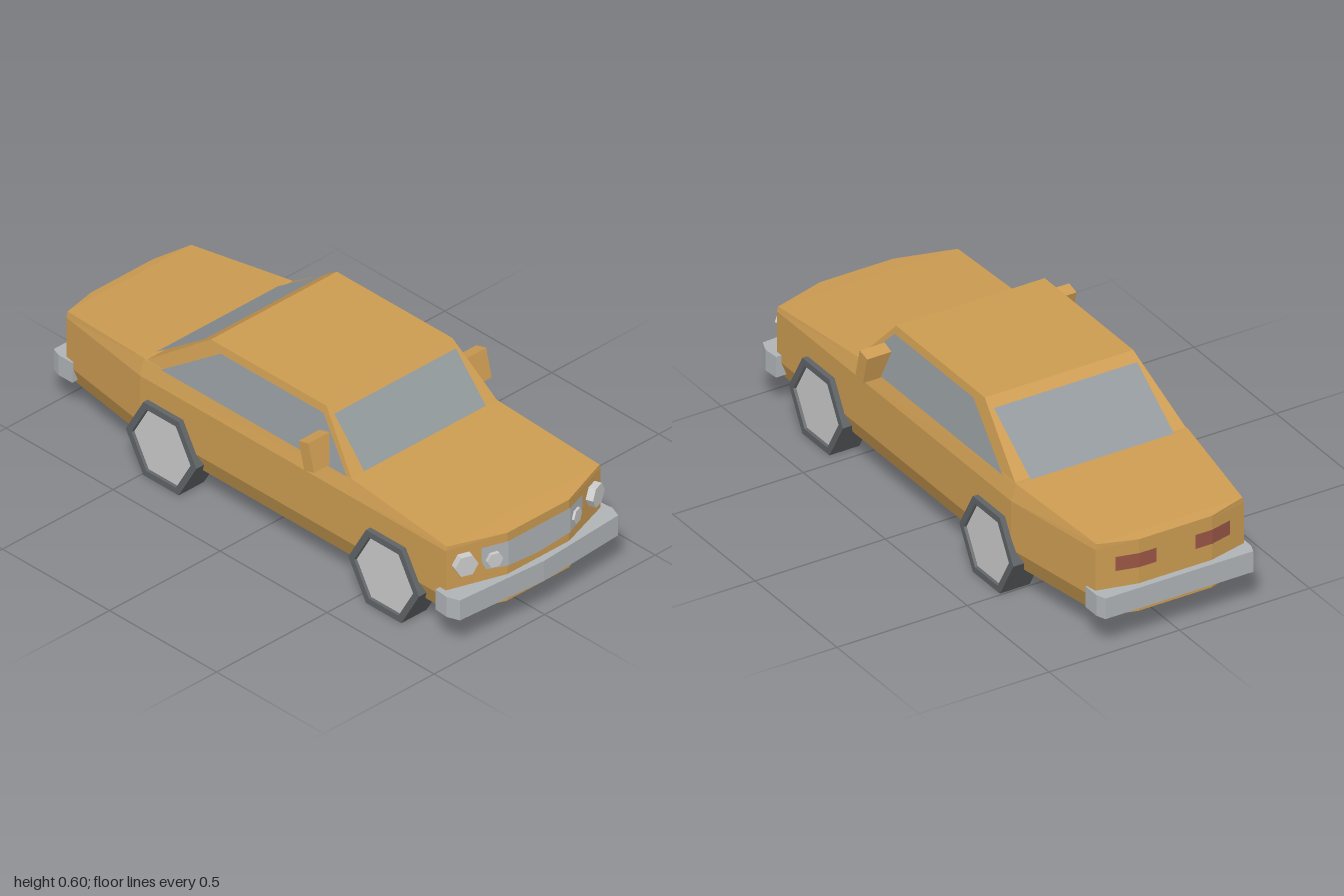
import * as THREE from 'three';

const mat = (color) => new THREE.MeshStandardMaterial({ color, flatShading: true, side: THREE.DoubleSide });

// Flat-shaded mesh from a list of four-cornered faces
function quadMesh(name, quads, material) {
  const pos = [];
  for (const [a, b, c, d] of quads) pos.push(...a, ...b, ...c, ...a, ...c, ...d);
  const g = new THREE.BufferGeometry();
  g.setAttribute('position', new THREE.Float32BufferAttribute(pos, 3));
  g.computeVertexNormals();
  const m = new THREE.Mesh(g, material);
  m.name = name;
  return m;
}

// Closed ring from its left half (front to back)
const ring = (half) => [...half, ...half.slice().reverse().map(([x, y, z]) => [-x, y, z])];

// Skin stacked rings, bottom to top, and close both ends with cross strips
function loft(name, rings, material) {
  const n = rings[0].length, quads = [];
  for (let k = 0; k + 1 < rings.length; k++)
    for (let i = 0; i < n; i++) {
      const j = (i + 1) % n;
      quads.push([rings[k][i], rings[k][j], rings[k + 1][j], rings[k + 1][i]]);
    }
  const lo = rings[0], hi = rings[rings.length - 1];
  for (let i = 0; i < n / 2 - 1; i++) {
    quads.push([hi[i], hi[i + 1], hi[n - 2 - i], hi[n - 1 - i]]);
    quads.push([lo[n - 1 - i], lo[n - 2 - i], lo[i + 1], lo[i]]);
  }
  return quadMesh(name, quads, material);
}

// Depth of the bent nose and tail faces at a given x
const noseZ = (x) => 0.97 - Math.max(0, Math.abs(x) - 0.14) * 0.34;
const tailZ = (x) => -0.975 + Math.max(0, Math.abs(x) - 0.14) * 0.25;

// Panel following a bent face; columns are [x, bottom, top]
function panel(name, cols, zAt, material) {
  const quads = [];
  for (let i = 0; i + 1 < cols.length; i++) {
    const [x0, b0, t0] = cols[i], [x1, b1, t1] = cols[i + 1];
    const z0 = zAt(x0), z1 = zAt(x1);
    quads.push([[x0, b0, z0], [x1, b1, z1], [x1, t1, z1], [x0, t0, z0]]);
  }
  return quadMesh(name, quads, material);
}

export function createModel() {
  const car = new THREE.Group();
  const paint = mat(0xcc9c52), glass = mat(0x92999c), chrome = mat(0xb0b4b7);
  const rubber = mat(0x606466), grey = mat(0xcccccc), red = mat(0x9a5646);

  // Lower body: sill, crease, shoulder and top edge
  const zs = [0.97, 0.9, 0.44, -0.53, -0.94, -0.975];
  const wide = [0.14, 0.35, 0.35, 0.35, 0.285, 0.14];
  const topX = [0.14, 0.345, 0.33, 0.33, 0.28, 0.14];
  const topY = [0.37, 0.378, 0.415, 0.42, 0.383, 0.375];
  const level = (xs, y) => ring(zs.map((z, i) => [xs[i], y(i), z]));
  car.add(loft('body', [
    level(wide.map((x) => (x > 0.2 ? x - 0.03 : x)), () => 0.105),
    level(wide, () => 0.18),
    level(wide, () => 0.362),
    level(topX, (i) => topY[i]),
  ], paint));

  // Cabin
  car.add(loft('cabin', [
    ring([[0.33, 0.412, 0.44], [0.33, 0.412, -0.53]]),
    ring([[0.285, 0.6, 0.275], [0.285, 0.6, -0.265]]),
  ], paint));

  // Windscreen and rear window, lying just above the cabin slopes
  const slope = (name, z0, z1) => {
    const at = (x, t) => [x, 0.415 + 0.185 * t + 0.003, z0 + (z1 - z0) * t + Math.sign(z0) * 0.003];
    return quadMesh(name, [[at(-0.275, 0.01), at(0.275, 0.01), at(0.275, 0.86), at(-0.275, 0.86)]], glass);
  };
  car.add(slope('windscreen', 0.44, 0.275), slope('rearWindow', -0.53, -0.265));

  for (const s of [-1, 1]) {
    // Side window
    car.add(quadMesh('sideWindow', [[
      [s * 0.333, 0.415, 0.42], [s * 0.333, 0.415, -0.45],
      [s * 0.294, 0.575, -0.21], [s * 0.294, 0.575, 0.27],
    ]], glass));

    // Door mirror
    const mirror = new THREE.Mesh(new THREE.BoxGeometry(0.1, 0.106, 0.047), paint);
    mirror.name = 'doorMirror';
    mirror.position.set(s * 0.352, 0.468, 0.302);
    mirror.rotation.x = -0.25;
    car.add(mirror);

    // Headlight, square to the swept nose corner
    const lamp = (name, r, depth, x, y, z, turn) => {
      const g = new THREE.CylinderGeometry(r, r, depth, 6).rotateY(Math.PI / 2).rotateX(Math.PI / 2);
      const m = new THREE.Mesh(g, grey);
      m.name = name;
      m.position.set(x, y, z);
      m.rotation.y = turn;
      car.add(m);
    };
    lamp('headlight', 0.042, 0.04, s * 0.292, 0.301, noseZ(0.292) + 0.008, s * 0.33);
    lamp('grilleLamp', 0.029, 0.02, s * 0.184 - 0.007, 0.288, noseZ(0.184) + 0.006, s * 0.33);

    // Tail light wrapped over the bend
    car.add(panel('tailLight', [0.075, 0.14, 0.22].map((x) => [s * x, 0.272, 0.325]),
      (x) => tailZ(x) - 0.004, red));

    // Six-sided wheels with a recessed hub
    for (const z of [0.63, -0.41]) {
      const wheel = new THREE.Group();
      wheel.name = 'wheel';
      const profile = [[0, 0], [0.165, 0], [0.165, 0.115], [0.138, 0.115], [0.132, 0.1]]
        .map(([x, y]) => new THREE.Vector2(x, y));
      const tyre = new THREE.Mesh(new THREE.LatheGeometry(profile, 6), rubber);
      tyre.name = 'tyre';
      const hub = new THREE.Mesh(new THREE.CylinderGeometry(0.135, 0.135, 0.02, 6), grey);
      hub.name = 'hub';
      hub.position.y = 0.096;
      wheel.add(tyre, hub);
      wheel.rotation.z = -s * Math.PI / 2;
      wheel.position.set(s * 0.255, 0.143, z);
      car.add(wheel);
    }
  }

  // Grille with a shallow V lower edge
  car.add(panel('grille', [
    [-0.232, 0.29, 0.34], [-0.216, 0.253, 0.34], [-0.14, 0.245, 0.34], [-0.005, 0.235, 0.34],
    [0.14, 0.245, 0.34], [0.205, 0.253, 0.34], [0.221, 0.29, 0.34],
  ], (x) => noseZ(x) + 0.005, chrome));

  // Bumpers extruded upward from their plan outline
  const bumper = (name, half, y0, y1) => {
    const shape = new THREE.Shape();
    const pts = [...half, ...half.slice().reverse().map(([x, z]) => [-x, z])];
    shape.setFromPoints(pts.map(([x, z]) => new THREE.Vector2(x, -z)));
    const g = new THREE.ExtrudeGeometry(shape, { depth: y1 - y0, bevelEnabled: false }).rotateX(-Math.PI / 2);
    const m = new THREE.Mesh(g, chrome);
    m.name = name;
    m.position.y = y0;
    car.add(m);
  };
  bumper('frontBumper', [[0, 0.998], [0.358, 0.974], [0.375, 0.93], [0.37, 0.872], [0.33, 0.872], [0.13, 0.94]], 0.131, 0.209);
  bumper('rearBumper', [[0.27, -0.9], [0.297, -0.9], [0.297, -0.965], [0.284, -1]], 0.131, 0.209);

  return car;
}
